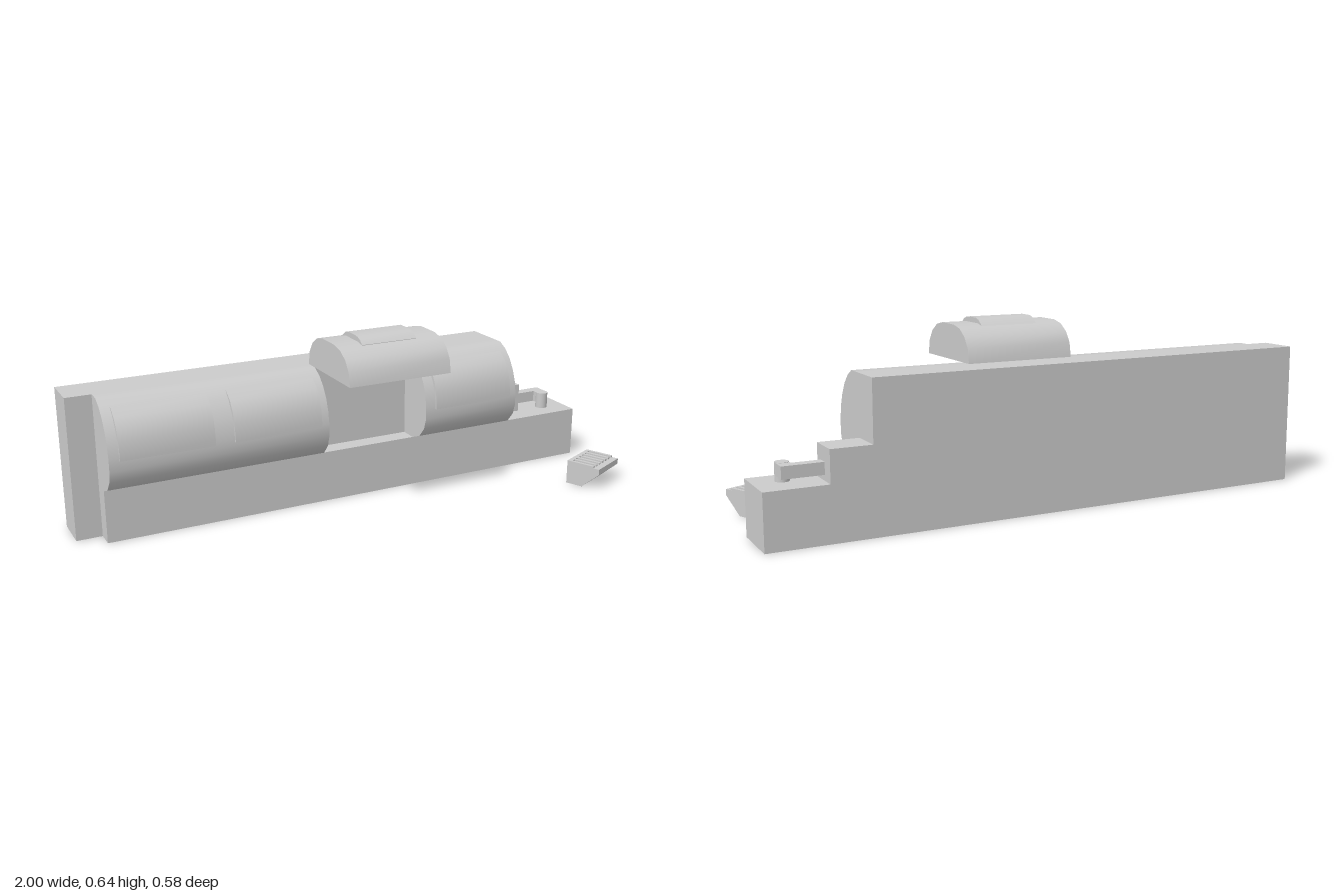
import * as THREE from 'three';
import { toCreasedNormals } from 'three/addons/utils/BufferGeometryUtils.js';

const material = new THREE.MeshStandardMaterial({ color: 0xcccccc });

function addMesh(parent, name, geometry) {
  const mesh = new THREE.Mesh(geometry, material);
  mesh.name = name;
  parent.add(mesh);
  return mesh;
}

// Box given by its limits on each axis
function box(parent, name, x0, x1, y0, y1, z0, z1) {
  const mesh = addMesh(parent, name, new THREE.BoxGeometry(x1 - x0, y1 - y0, z1 - z0));
  mesh.position.set((x0 + x1) / 2, (y0 + y1) / 2, (z0 + z1) / 2);
  return mesh;
}

// Cross-section of [z, y] points extruded along x
function bar(parent, name, points, x0, x1, crease = 0.65) {
  const shape = new THREE.Shape(points.map(([z, y]) => new THREE.Vector2(-z, y)));
  const geometry = new THREE.ExtrudeGeometry(shape, { depth: x1 - x0, bevelEnabled: false });
  geometry.rotateY(Math.PI / 2).translate(x0, 0, 0);
  return addMesh(parent, name, toCreasedNormals(geometry, crease));
}

const HOUSING = [
  [-0.15, 0.188], [-0.085, 0.188], [-0.035, 0.208], [-0.003, 0.245], [0.01, 0.285], [0.01, 0.33],
  [0.002, 0.375], [-0.013, 0.415], [-0.038, 0.455], [-0.068, 0.485], [-0.105, 0.505], [-0.15, 0.505],
];
const HOUSING_PAD = [
  [-0.06, 0.32], [0.016, 0.32], [0.016, 0.345], [0.01, 0.385], [-0.002, 0.42], [-0.025, 0.455],
  [-0.06, 0.482], [-0.09, 0.48],
];
const LID = [
  [0.172, 0.505], [0.162, 0.555], [0.138, 0.59], [0.1, 0.615], [0.055, 0.625],
  [-0.04, 0.625], [-0.085, 0.615], [-0.122, 0.59], [-0.146, 0.555], [-0.155, 0.505],
];
const LID_PAD = [
  [0.085, 0.6], [0.085, 0.62], [0.07, 0.633], [0.05, 0.641], [0.03, 0.643],
  [-0.025, 0.643], [-0.045, 0.637], [-0.07, 0.618], [-0.07, 0.6],
];
const KEY = [[-0.066, 0], [-0.001, 0], [0.066, 0.062], [0.066, 0.083], [-0.066, 0.083]];

export function createModel() {
  const model = new THREE.Group();
  const body = new THREE.Group();
  body.name = 'body';
  body.rotation.y = 0.0073;
  model.add(body);

  // Base, end slab and back panel
  box(body, 'base', -0.91, 1, 0, 0.188, -0.286, -0.085);
  box(body, 'endSlab', -1, -0.91, 0, 0.505, -0.286, -0.15);
  box(body, 'backPanel', -0.91, 0.65, 0.188, 0.505, -0.286, -0.15);
  box(body, 'hingeStrip', -0.13, 0.26, 0.465, 0.505, -0.15, -0.146);

  // Rounded housings either side of the open bay
  bar(body, 'leftHousing', HOUSING, 0.26, 0.65);
  bar(body, 'rightHousing', HOUSING, -0.91, -0.13);
  for (const [x0, x1] of [[-0.875, -0.55], [-0.48, -0.16], [0.3, 0.62]]) {
    bar(body, 'housingPad', HOUSING_PAD, x0, x1);
  }

  // Opened lid above the bay
  bar(body, 'lid', LID, -0.13, 0.26);
  bar(body, 'lidPad', LID_PAD, -0.04, 0.17);

  // Latch block with hooked arm
  box(body, 'latchBlock', 0.65, 0.79, 0.188, 0.297, -0.286, -0.166);
  box(body, 'latchArm', 0.79, 0.927, 0.207, 0.248, -0.235, -0.198);
  box(body, 'latchHook', 0.885, 0.927, 0.207, 0.248, -0.198, -0.172);
  const pin = addMesh(body, 'latchPin', new THREE.CylinderGeometry(0.023, 0.023, 0.061, 20));
  pin.position.set(0.905, 0.2185, -0.17);

  // Loose wedge-shaped button with ribs on top
  const button = new THREE.Group();
  button.name = 'looseButton';
  button.position.set(0.8875, 0, 0.1935);
  button.rotation.y = 0.435;
  model.add(button);
  bar(button, 'buttonBody', KEY, -0.077, 0.077, 0.3);
  box(button, 'buttonBackEdge', -0.077, 0.077, 0.083, 0.09, -0.066, -0.05);
  for (let i = 0; i < 7; i++) {
    const x = -0.077 + i * 0.0238;
    box(button, 'buttonRib', x, x + 0.011, 0.083, 0.09, -0.05, 0.042);
  }
  return model;
}
